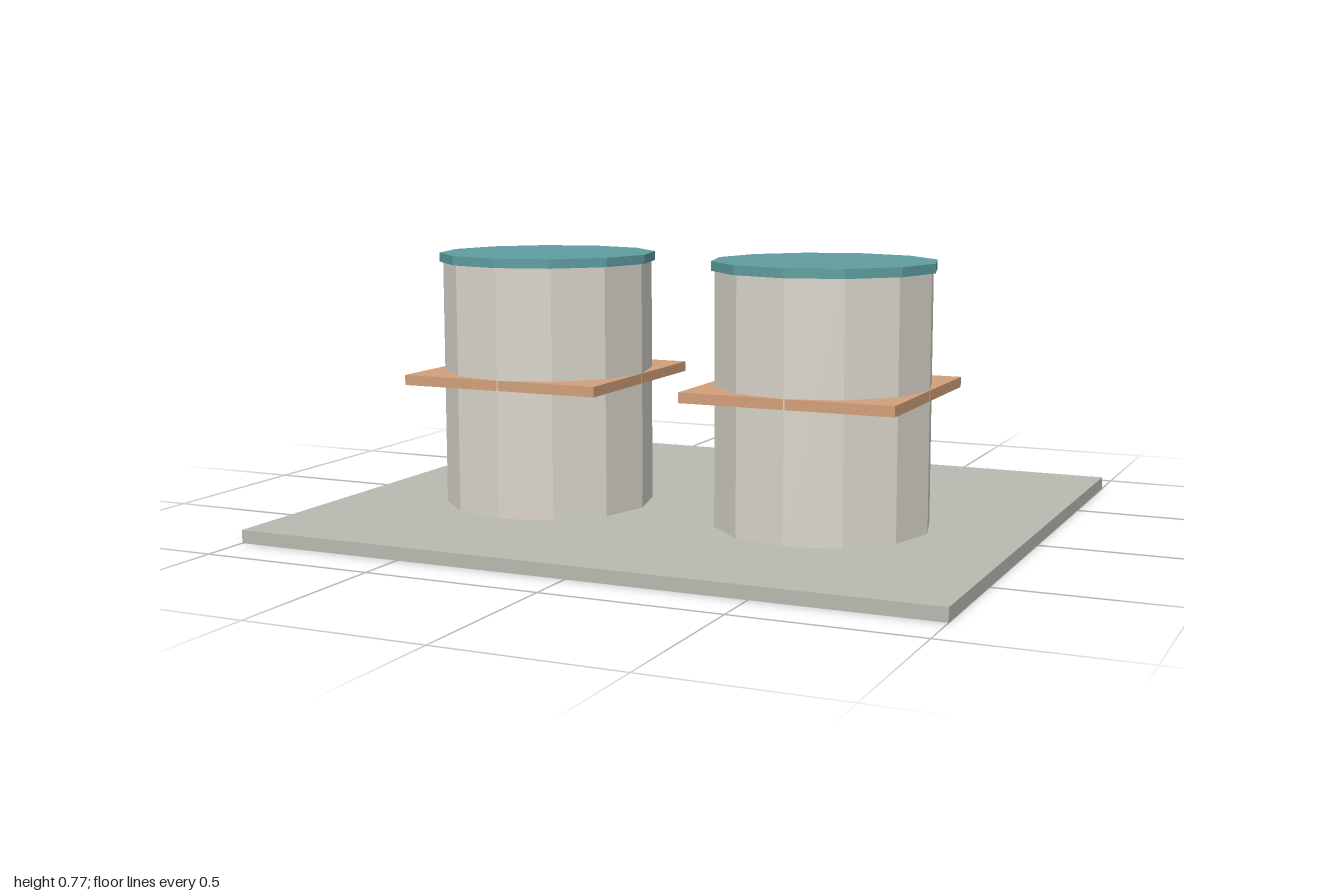
import * as THREE from 'three';

const paint = (color) => new THREE.MeshStandardMaterial({ color, flatShading: true });

function add(parent, name, geometry, material, x, y, z) {
  const mesh = new THREE.Mesh(geometry, material);
  mesh.name = name;
  mesh.position.set(x, y, z);
  parent.add(mesh);
  return mesh;
}

export function createModel() {
  const model = new THREE.Group();
  model.name = 'tankYard';

  const concrete = paint(0xb8bbb1);
  const shell = paint(0xd9d5cb);
  const teal = paint(0x5f9ea0);
  const copper = paint(0xd2a07a);
  const dark = paint(0x484c4e);

  // Ground slab
  add(model, 'slab', new THREE.BoxGeometry(2, 0.037, 1.716), concrete, 0, 0.0185, 0);

  // Two twelve-sided tanks, each with a square platform and a lid
  for (const side of [-1, 1]) {
    const tank = new THREE.Group();
    tank.name = side > 0 ? 'leftTank' : 'rightTank';
    tank.position.set(side * 0.429, 0, 0.143);
    add(tank, 'tankBody', new THREE.CylinderGeometry(0.303, 0.303, 0.715, 12), shell, 0, 0.3945, 0);
    add(tank, 'platform', new THREE.BoxGeometry(0.605, 0.029, 0.605), copper, 0, 0.415, 0);
    add(tank, 'lid', new THREE.CylinderGeometry(0.313, 0.313, 0.026, 12), teal, 0, 0.758, 0);
    model.add(tank);
  }

  // Control box behind the tanks
  add(model, 'controlBox', new THREE.BoxGeometry(0.2, 0.25, 0.143), teal, 0, 0.161, -0.715);

  // Slanted lever beside the box, falling toward +x
  const lever = add(model, 'lever', new THREE.CylinderGeometry(0.0115, 0.0115, 0.228, 8), dark, 0.212, 0.142, -0.715);
  lever.rotation.z = Math.atan2(0.148, 0.172);

  return model;
}
